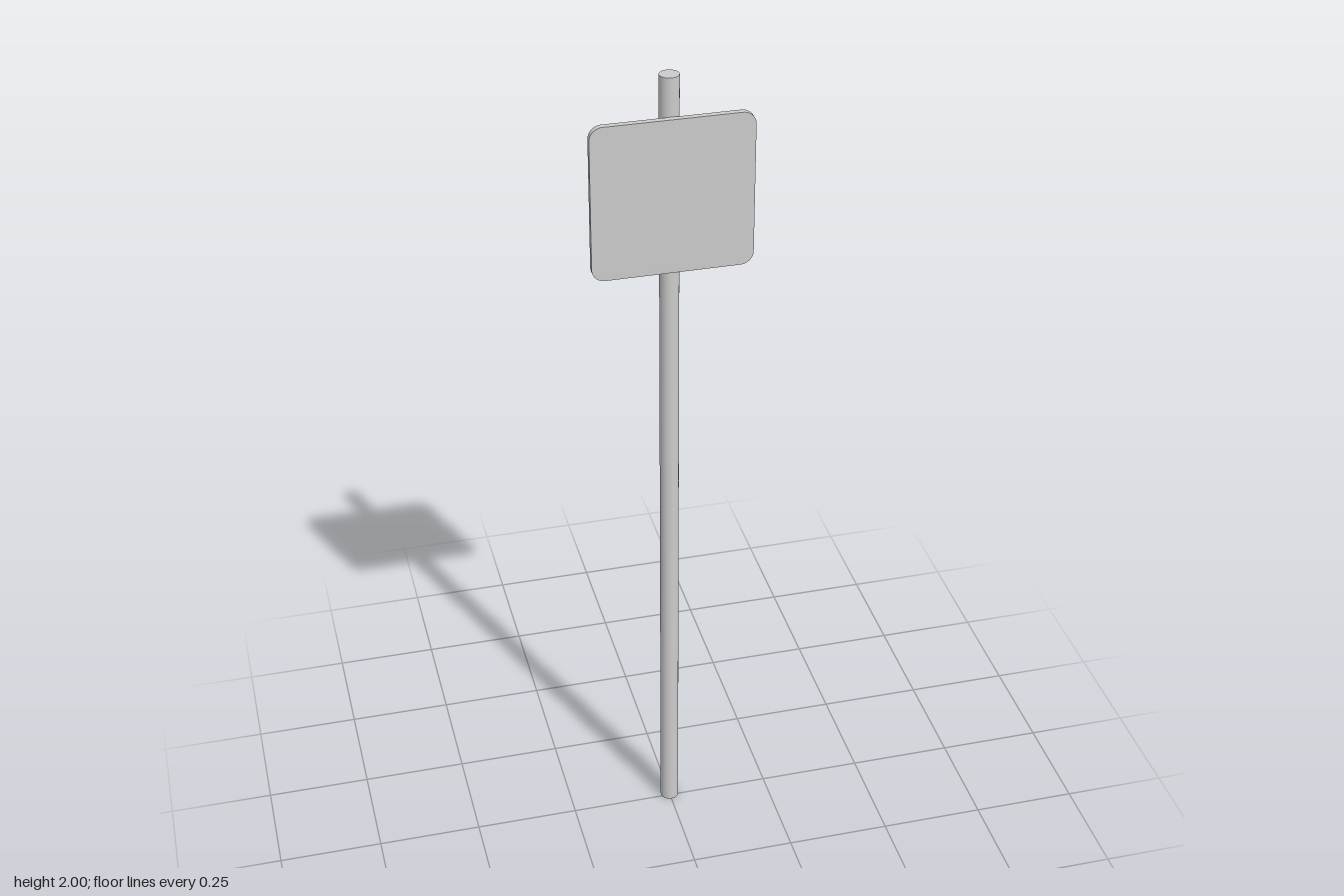
import * as THREE from 'three';

const POLE_RADIUS = 0.0223;
const POLE_Z = -0.007;

// Rounded square outline centred on the origin
function roundedSquare(size, r) {
  const h = size / 2, i = h - r;
  const s = new THREE.Shape();
  s.absarc(i, i, r, 0, Math.PI / 2);
  s.absarc(-i, i, r, Math.PI / 2, Math.PI);
  s.absarc(-i, -i, r, Math.PI, Math.PI * 1.5);
  s.absarc(i, -i, r, Math.PI * 1.5, Math.PI * 2);
  s.closePath();
  return s;
}

export function createModel() {
  const group = new THREE.Group();
  group.name = 'signPost';
  const material = new THREE.MeshStandardMaterial({ color: 0xcccccc });

  // Round pole, full height
  const pole = new THREE.Mesh(new THREE.CylinderGeometry(POLE_RADIUS, POLE_RADIUS, 2, 32), material);
  pole.name = 'pole';
  pole.position.set(0, 1, POLE_Z);
  group.add(pole);

  // Flat sign plate touching the front of the pole
  const plateGeometry = new THREE.ExtrudeGeometry(roundedSquare(0.366, 0.03), {
    depth: 0.0142, bevelEnabled: false, curveSegments: 8,
  });
  const plate = new THREE.Mesh(plateGeometry, material);
  plate.name = 'signPlate';
  plate.position.set(0, 1.728, 0.0148);
  group.add(plate);

  return group;
}
